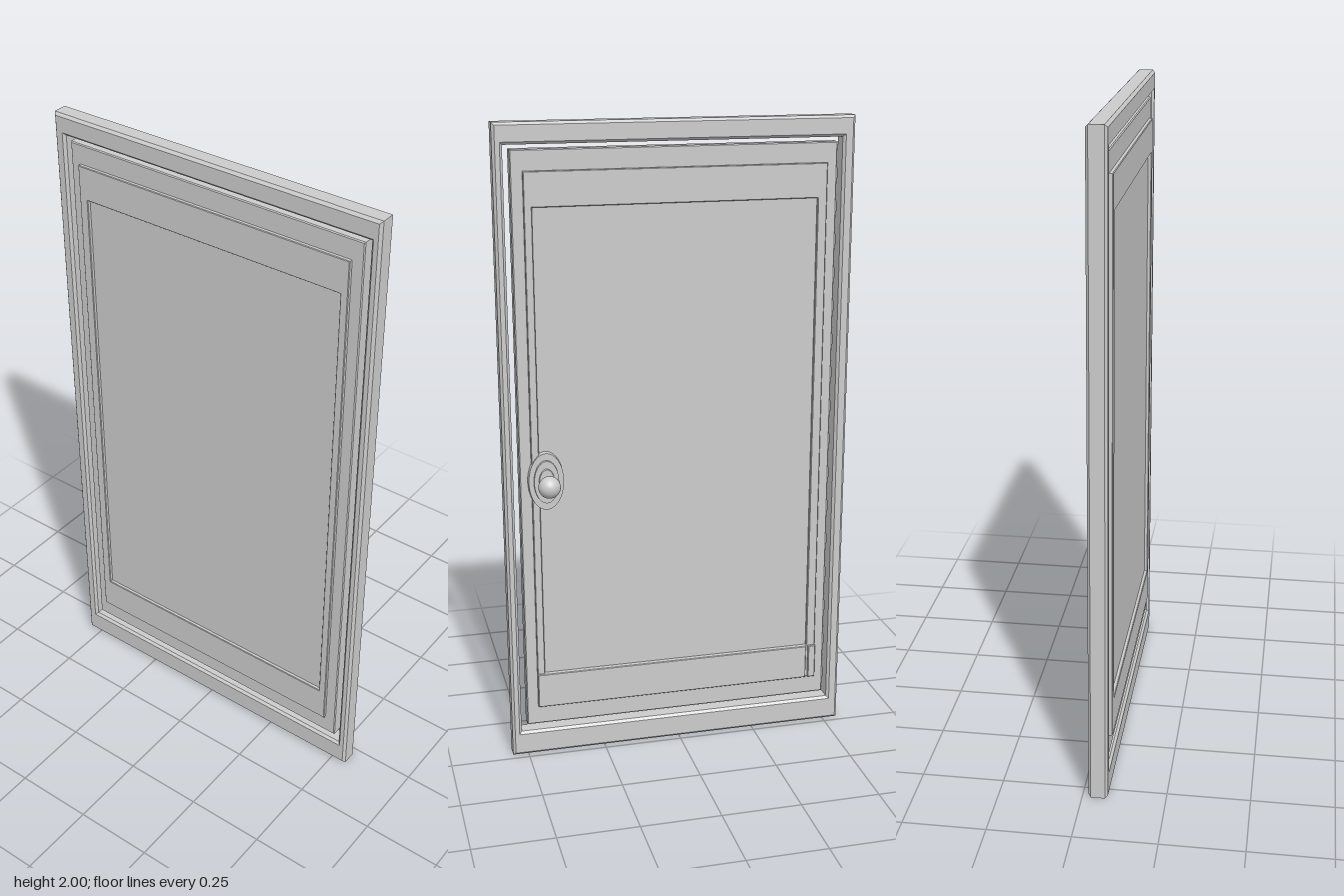
import * as THREE from 'three';

const material = new THREE.MeshStandardMaterial({ color: 0xcccccc });

// Rectangle outline in the door plane: u = -z, v = y
function trace(path, z0, z1, y0, y1) {
  path.moveTo(-z1, y0);
  path.lineTo(-z0, y0);
  path.lineTo(-z0, y1);
  path.lineTo(-z1, y1);
  path.closePath();
  return path;
}

// Bevelled plate between x0 and x1, with an optional rectangular opening
function plate(name, outer, x0, x1, bevel, hole) {
  const shape = trace(new THREE.Shape(), ...outer);
  if (hole) shape.holes.push(trace(new THREE.Path(), ...hole));
  const geometry = new THREE.ExtrudeGeometry(shape, {
    depth: x1 - x0 - 2 * bevel,
    bevelEnabled: bevel > 0,
    bevelThickness: bevel,
    bevelSize: bevel,
    bevelOffset: -bevel,
    bevelSegments: 1,
  });
  geometry.translate(0, 0, bevel);
  geometry.rotateY(Math.PI / 2);
  geometry.translate(x0, 0, 0);
  const mesh = new THREE.Mesh(geometry, material);
  mesh.name = name;
  return mesh;
}

// Round part turned around the x axis, stretched in y and z
function disc(name, x0, x1, radiusZ, radiusY, taper = 1) {
  const geometry = new THREE.CylinderGeometry(taper, 1, x1 - x0, 40);
  geometry.rotateZ(-Math.PI / 2);
  geometry.scale(1, radiusY, radiusZ);
  const mesh = new THREE.Mesh(geometry, material);
  mesh.name = name;
  mesh.position.x = (x0 + x1) / 2;
  return mesh;
}

export function createModel() {
  const door = new THREE.Group();
  door.name = 'door';

  // Outer frame, with a narrow gap around the leaf
  door.add(plate('outerFrame', [-0.55, 0.55, 0, 2], -0.077, -0.018, 0.008,
    [-0.512, 0.52, 0.08, 1.936]));

  // Leaf set slightly behind the frame faces
  door.add(plate('leaf', [-0.497, 0.5, 0.1, 1.922], -0.069, -0.028, 0.003));

  // Raised border around the centre panel on both faces
  const border = [-0.464, 0.464, 0.165, 1.86];
  const opening = [-0.435, 0.44, 0.277, 1.755];
  door.add(plate('borderFront', border, -0.03, -0.018, 0.002, opening));
  door.add(plate('borderBack', border, -0.08, -0.067, 0.002, opening));

  // Kick rail in two pieces, prouder than the border
  door.add(plate('kickRail', [-0.432, 0.464, 0.165, 0.277], -0.028, -0.01, 0.002));
  door.add(plate('kickRailEnd', [-0.464, -0.44, 0.165, 0.277], -0.028, -0.01, 0.002));

  // Stepped oval rosette, stem and ball knob
  const knob = new THREE.Group();
  knob.name = 'knob';
  knob.position.set(0, 0.92, 0.42);
  knob.add(disc('rosetteBase', -0.03, -0.012, 0.056, 0.093, 0.97));
  knob.add(disc('rosetteStep', -0.02, -0.005, 0.04, 0.07, 0.96));
  knob.add(disc('rosetteCentre', -0.01, 0, 0.026, 0.046, 0.9));
  knob.add(disc('stem', -0.005, 0.025, 0.011, 0.011));
  const ball = new THREE.Mesh(new THREE.SphereGeometry(0.034, 32, 24), material);
  ball.name = 'ball';
  ball.position.x = 0.044;
  knob.add(ball);
  door.add(knob);

  return door;
}
